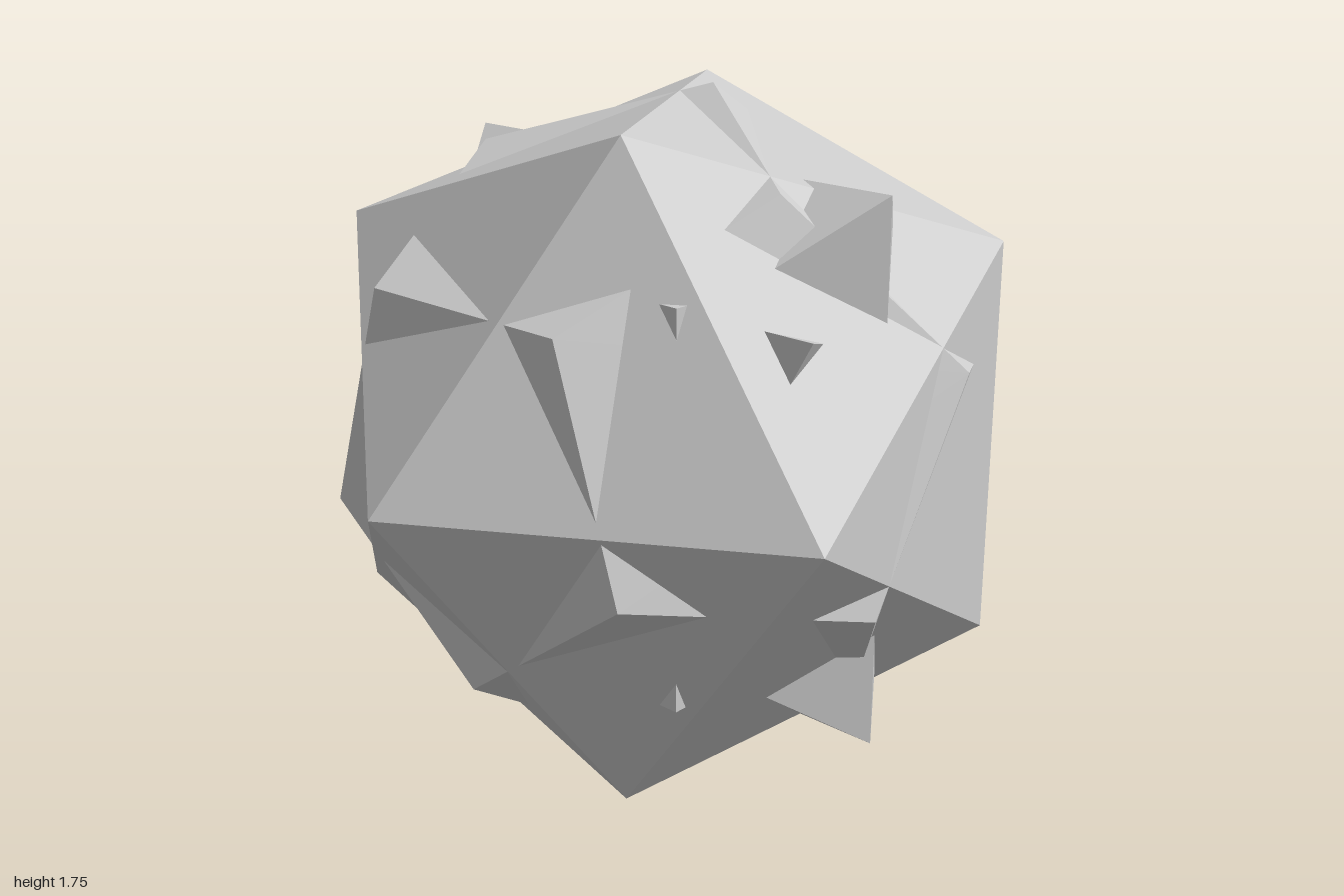
import * as THREE from 'three';
import { ConvexGeometry } from 'three/addons/geometries/ConvexGeometry.js';

const CENTRE_Y = 0.874;

// Regular ring of n points about the z axis, first point at the given angle in degrees
function ring(n, radius, z, degrees) {
  return Array.from({ length: n }, (_, i) => {
    const a = THREE.MathUtils.degToRad(degrees + (i * 360) / n);
    return new THREE.Vector3(radius * Math.cos(a), radius * Math.sin(a), z);
  });
}

const tip = (z) => new THREE.Vector3(0, 0, z);

export function createModel() {
  const group = new THREE.Group();
  group.name = 'nestedSolids';
  const material = new THREE.MeshStandardMaterial({ color: 0xcccccc, flatShading: true });

  function add(name, geometry) {
    const mesh = new THREE.Mesh(geometry, material);
    mesh.name = name;
    mesh.position.y = CENTRE_Y;
    group.add(mesh);
  }

  // Icosahedron standing with one tip to the front and one to the back
  const r = 2 / Math.sqrt(5), h = 1 / Math.sqrt(5);
  add('icosahedron', new ConvexGeometry([
    tip(1), ...ring(5, r, h, 0), ...ring(5, r, -h, 36), tip(-1),
  ]));

  // Dodecahedron with a flat pentagon to the front, its corner pointing down
  const R = 0.89;
  add('dodecahedron', new ConvexGeometry([
    ...ring(5, 0.6071 * R, 0.7947 * R, -90),
    ...ring(5, 0.9822 * R, 0.1876 * R, -90),
    ...ring(5, 0.9822 * R, -0.1876 * R, 90),
    ...ring(5, 0.6071 * R, -0.7947 * R, 90),
  ]));

  // Octahedron with its square waist upright
  add('octahedron', new THREE.OctahedronGeometry(1).rotateZ(Math.PI / 4));

  // Cube, whose corners just break the surface
  add('cube', new THREE.BoxGeometry(1, 1, 1));

  // Tetrahedron with a flat face to the front
  add('tetrahedron', new ConvexGeometry([...ring(3, 0.866, 0.327, -90), tip(-0.96)]));

  return group;
}
